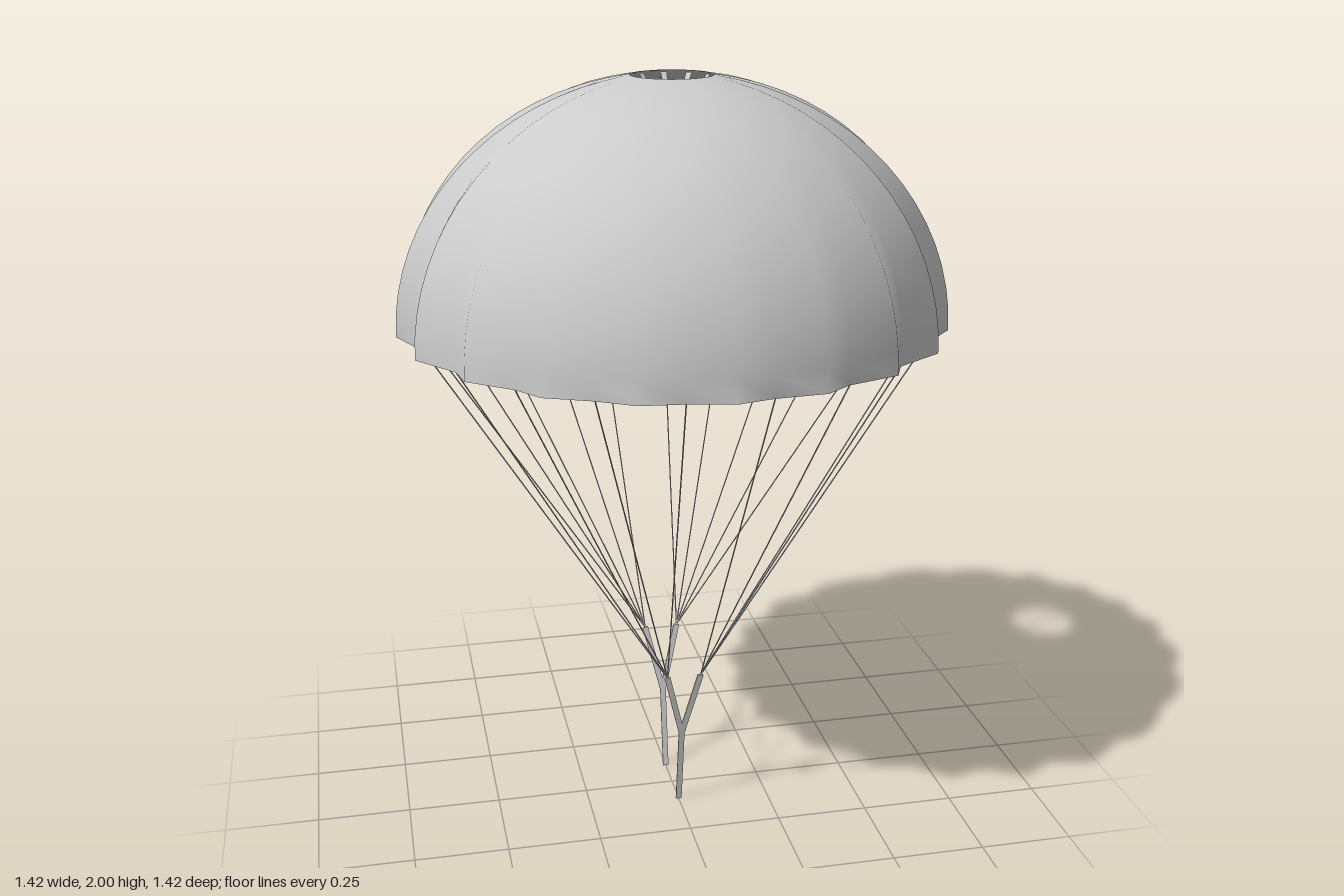
import * as THREE from 'three';

const GORES = 20, SEGS = GORES * 2, RINGS = 16;
const TIP_R = 0.71, VALLEY_R = 0.655, VENT_R = 0.105, RIM_Y = 1.368;
const UP = new THREE.Vector3(0, 1, 0);

const material = new THREE.MeshStandardMaterial({ color: 0xcccccc });
const cloth = new THREE.MeshStandardMaterial({ color: 0xcccccc, side: THREE.DoubleSide });

function mesh(name, geometry, mat = material) {
  const m = new THREE.Mesh(geometry, mat);
  m.name = name;
  return m;
}

// Scalloped dome: ridges and valleys alternate, deepening towards the rim
function canopyGeometry() {
  const pos = [], index = [];
  const phi0 = Math.asin(VENT_R / TIP_R);
  const height = (2 - RIM_Y) / Math.cos(phi0);
  for (let i = 0; i <= RINGS; i++) {
    const t = i / RINGS;
    const phi = phi0 + (Math.PI / 2 - phi0) * t;
    for (let j = 0; j < SEGS; j++) {
      const a = (j / SEGS) * Math.PI * 2;
      const valley = j % 2;
      const r = TIP_R * Math.sin(phi) - valley * (TIP_R - VALLEY_R) * t;
      const y = RIM_Y + height * Math.cos(phi) - valley * 0.013 * t;
      pos.push(Math.sin(a) * r, y, Math.cos(a) * r);
      if (i < RINGS) {
        const k = (j + 1) % SEGS, p = i * SEGS, q = p + SEGS;
        index.push(p + j, q + j, q + k, p + j, q + k, p + k);
      }
    }
  }
  const g = new THREE.BufferGeometry();
  g.setAttribute('position', new THREE.Float32BufferAttribute(pos, 3));
  g.setIndex(index);
  g.computeVertexNormals();
  return g;
}

// Narrow tapering bands running inwards from the vent edge
function ventGeometry() {
  const pos = [];
  const half = Math.PI / SEGS;
  for (let i = 0; i < 10; i++) {
    const a = (i / 10) * Math.PI * 2;
    for (const s of [a - half, a + half]) {
      pos.push(Math.sin(s) * VENT_R, 1.995, Math.cos(s) * VENT_R);
    }
    pos.push(0, 1.87, 0);
  }
  const g = new THREE.BufferGeometry();
  g.setAttribute('position', new THREE.Float32BufferAttribute(pos, 3));
  g.computeVertexNormals();
  return g;
}

// Thin round cord between two points
function cord(name, from, to) {
  const dir = to.clone().sub(from);
  const m = mesh(name, new THREE.CylinderGeometry(0.0018, 0.0018, dir.length(), 5));
  m.position.copy(from).add(to).multiplyScalar(0.5);
  m.quaternion.setFromUnitVectors(UP, dir.normalize());
  return m;
}

// Flat webbing strap between two points, its width kept along x
function strap(name, from, to) {
  const dir = to.clone().sub(from);
  const m = mesh(name, new THREE.BoxGeometry(0.016, dir.length(), 0.005));
  m.position.copy(from).add(to).multiplyScalar(0.5);
  dir.normalize();
  const x = new THREE.Vector3(1, 0, 0).addScaledVector(dir, -dir.x).normalize();
  const z = x.clone().cross(dir);
  m.quaternion.setFromRotationMatrix(new THREE.Matrix4().makeBasis(x, dir, z));
  return m;
}

export function createModel() {
  const model = new THREE.Group();
  model.name = 'parachute';
  model.add(mesh('canopy', canopyGeometry(), cloth));
  model.add(mesh('ventBands', ventGeometry(), cloth));

  // Suspension lines: five valleys per quadrant gather at one riser top
  const lines = new THREE.Group();
  lines.name = 'suspensionLines';
  for (let i = 0; i < GORES; i++) {
    const a = ((i + 0.5) / GORES) * Math.PI * 2;
    const sx = Math.sign(Math.sin(a)), sz = Math.sign(Math.cos(a));
    const rim = new THREE.Vector3(Math.sin(a) * VALLEY_R, 1.356, Math.cos(a) * VALLEY_R);
    lines.add(cord('suspensionLine', new THREE.Vector3(sx * 0.046, 0.42, sz * 0.16), rim));
  }
  model.add(lines);

  // Y-shaped risers, one in front and one behind
  for (const s of [1, -1]) {
    const riser = new THREE.Group();
    riser.name = s > 0 ? 'frontRiser' : 'backRiser';
    const fork = new THREE.Vector3(0, 0.23, s * 0.13);
    riser.add(strap('riserStem', new THREE.Vector3(0, 0, s * 0.092), fork));
    for (const x of [1, -1]) {
      riser.add(strap('riserBranch', fork, new THREE.Vector3(x * 0.046, 0.42, s * 0.16)));
    }
    model.add(riser);
  }
  return model;
}
